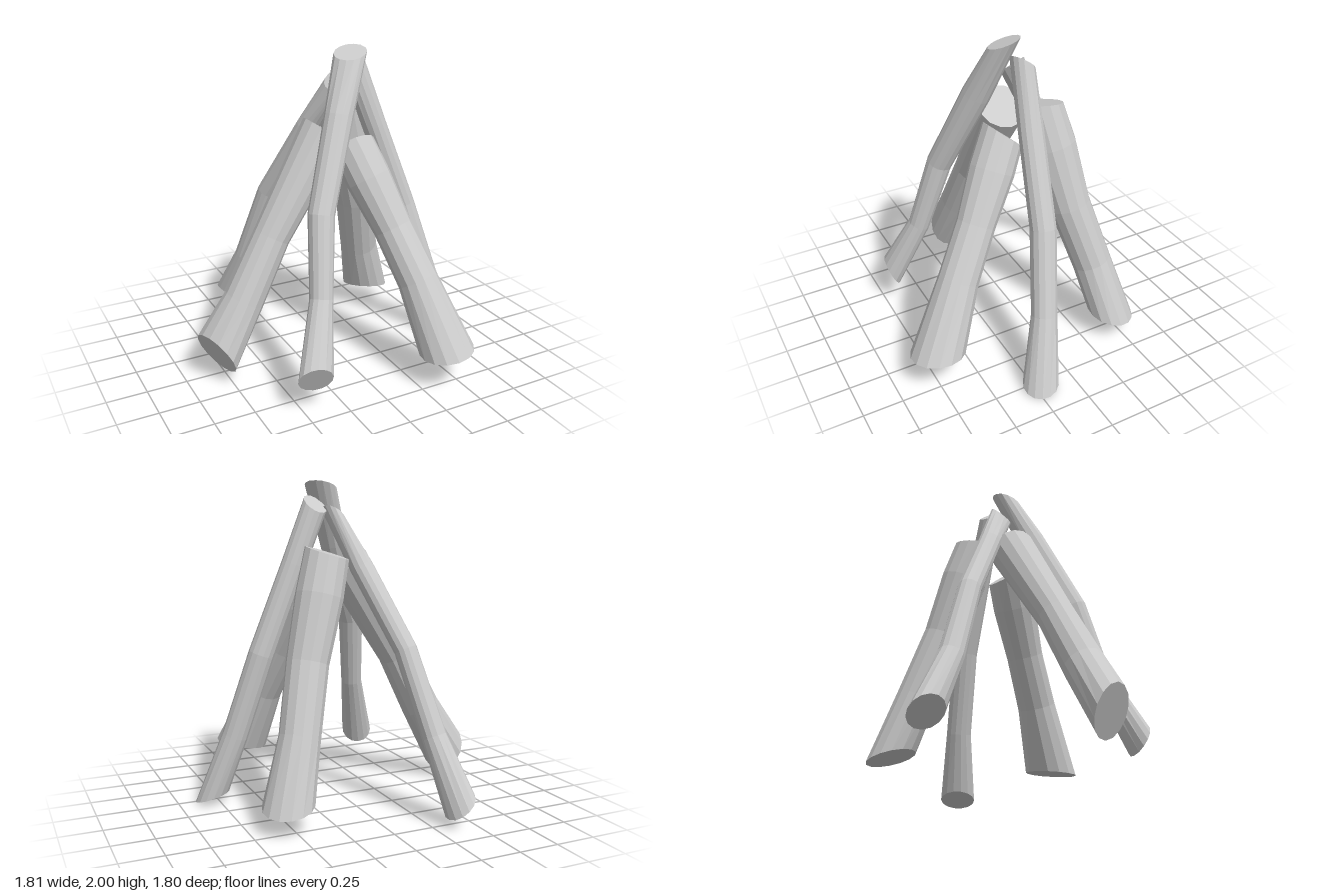
import * as THREE from 'three';

const SIDES = 14;

// Crooked log lofted from foot to top, each ring given as [x, y, z, radius].
// cutLow and cutHigh tilt the sawn ends; swell thickens or thins the upper part.
function logGeometry(foot, shin, knee, top, cutLow, cutHigh, swell) {
  const shoulder = knee.map((k, i) => THREE.MathUtils.lerp(k, top[i], 0.6));
  shoulder[3] *= swell;
  const rings = [foot, shin, knee, shoulder, top];
  const last = rings.length - 1;
  const centres = rings.map(([x, y, z]) => new THREE.Vector3(x, y, z));
  const normals = centres.map((c, i) => {
    if (i === 0) return new THREE.Vector3(...cutLow).normalize();
    if (i === last) return new THREE.Vector3(...cutHigh).normalize();
    const below = c.clone().sub(centres[i - 1]).normalize();
    return centres[i + 1].clone().sub(c).normalize().add(below).normalize();
  });

  // Turn one frame from ring to ring so the sides do not twist.
  const turn = new THREE.Quaternion();
  const start = new THREE.Vector3(1, 0, 0).addScaledVector(normals[1], -normals[1].x).normalize();
  const across = [start.clone().applyQuaternion(turn.setFromUnitVectors(normals[1], normals[0])), start];
  for (let i = 2; i <= last; i++) {
    across[i] = across[i - 1].clone().applyQuaternion(turn.setFromUnitVectors(normals[i - 1], normals[i]));
  }

  const positions = [];
  rings.forEach(([, , , radius], i) => {
    const other = normals[i].clone().cross(across[i]);
    for (let s = 0; s < SIDES; s++) {
      const a = (s / SIDES) * Math.PI * 2;
      const p = centres[i].clone()
        .addScaledVector(across[i], Math.cos(a) * radius)
        .addScaledVector(other, Math.sin(a) * radius);
      positions.push(p.x, p.y, p.z);
    }
  });
  const low = rings.length * SIDES;
  const high = low + 1;
  positions.push(...centres[0].toArray(), ...centres[last].toArray());

  // Bark quads, then one fan per sawn end.
  const index = [];
  for (let s = 0; s < SIDES; s++) {
    const t = (s + 1) % SIDES;
    for (let i = 0; i < last; i++) {
      const a = i * SIDES + s;
      const b = i * SIDES + t;
      index.push(a, b, b + SIDES, a, b + SIDES, a + SIDES);
    }
    index.push(low, t, s, high, last * SIDES + s, last * SIDES + t);
  }

  const geometry = new THREE.BufferGeometry();
  geometry.setAttribute('position', new THREE.Float32BufferAttribute(positions, 3));
  geometry.setIndex(index);
  const flat = geometry.toNonIndexed();
  flat.computeVertexNormals();
  return flat;
}

export function createModel() {
  const model = new THREE.Group();
  model.name = 'stackedFirewood';
  const wood = new THREE.MeshStandardMaterial({ color: 0xcccccc, flatShading: true });
  const addLog = (name, ...shape) => {
    const mesh = new THREE.Mesh(logGeometry(...shape), wood);
    mesh.name = name;
    model.add(mesh);
  };

  // Three thick logs
  addLog('frontThickLog',
    [0.43, 0.215, 0.73, 0.17], [0.33, 0.63, 0.53, 0.125], [0.245, 0.93, 0.365, 0.12], [0.1, 1.4, 0.11, 0.14],
    [-0.15, 1, -0.04], [-0.1, 0.75, -0.65], 1.06);
  addLog('backThickLog',
    [0.53, 0.15, -0.455, 0.155], [0.42, 0.52, -0.36, 0.125], [0.32, 0.93, -0.24, 0.13], [0.14, 1.57, -0.12, 0.14],
    [0.15, 1, -0.2], [-0.28, 1, -0.12], 1.08);
  addLog('sideThickLog',
    [-0.825, 0.195, 0.085, 0.16], [-0.63, 0.52, 0.08, 0.125], [-0.43, 0.89, 0.06, 0.115], [-0.05, 1.5, 0.03, 0.15],
    [0.87, 0.45, -0.3], [0.55, 0.8, 0], 1);

  // Three thin logs
  addLog('sideThinLog',
    [0.79, 0.033, 0.215, 0.11], [0.66, 0.44, 0.125, 0.08], [0.505, 0.95, 0.055, 0.08], [0.16, 1.86, 0.01, 0.08],
    [0.25, 1, 0.2], [-0.3, 0.75, -0.6], 0.95);
  addLog('frontThinLog',
    [-0.445, 0.23, 0.685, 0.105], [-0.32, 0.64, 0.51, 0.07], [-0.25, 1.1, 0.375, 0.08], [0.09, 1.97, 0.09, 0.1],
    [0.25, 0.5, -1], [-0.25, 1, 0.25], 0.95);
  addLog('backThinLog',
    [-0.405, 0.125, -0.795, 0.108], [-0.335, 0.5, -0.61, 0.075], [-0.235, 1, -0.43, 0.07], [0.04, 1.8, 0.01, 0.08],
    [0.65, 0.75, 0], [-0.6, 0.75, 0.3], 0.95);
  return model;
}
